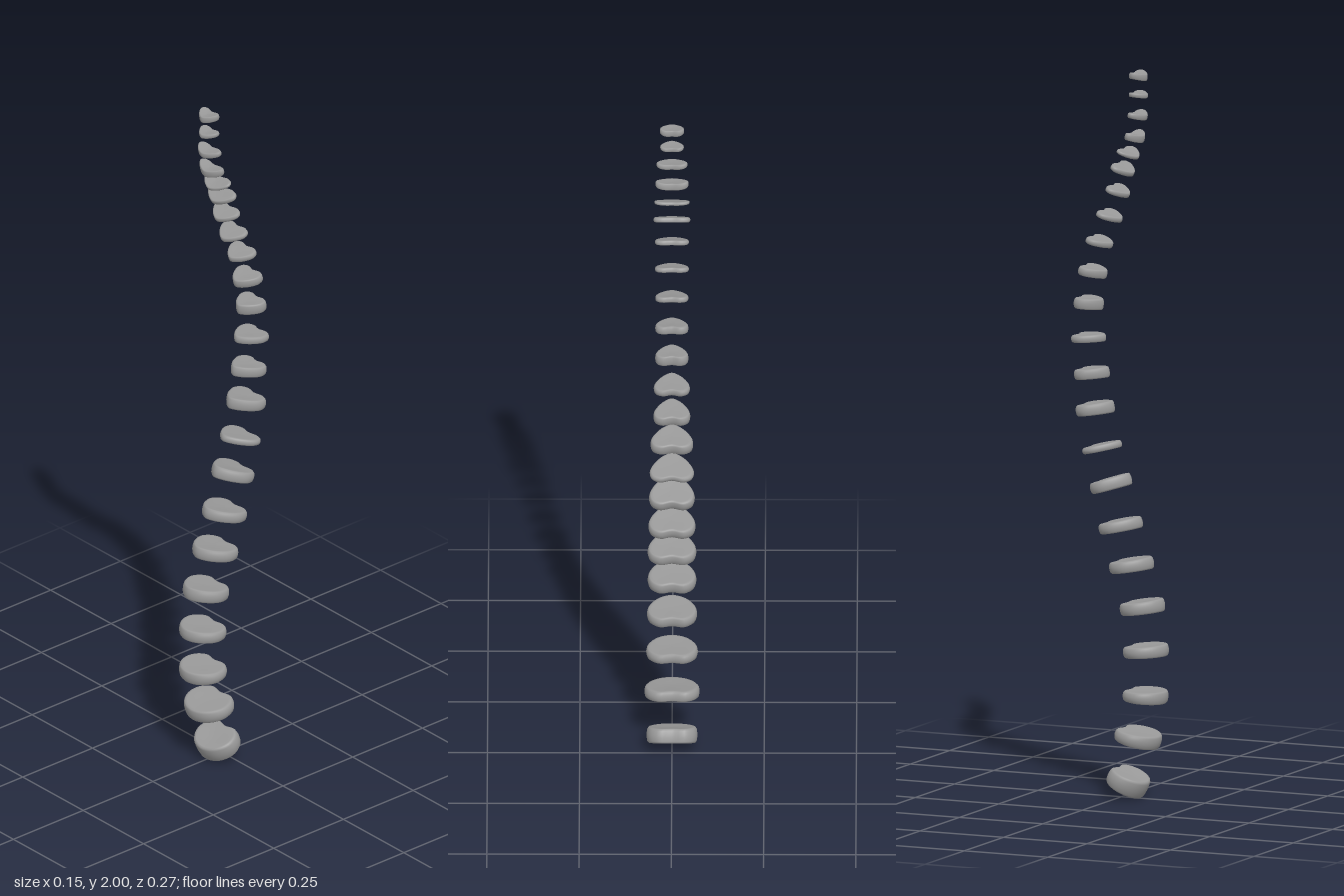
import * as THREE from 'three';

// One row per disc, bottom to top: y, z, forward tilt in degrees, half width, depth, thickness
const DISCS = [
  [0.048, 0.024, 27, 0.069, 0.106, 0.046],
  [0.171, 0.055, 13, 0.075, 0.118, 0.034],
  [0.287, 0.077, 3, 0.070, 0.114, 0.031],
  [0.411, 0.079, -4, 0.068, 0.116, 0.031],
  [0.531, 0.069, -8, 0.066, 0.116, 0.034],
  [0.644, 0.037, -9, 0.066, 0.115, 0.032],
  [0.751, 0.005, -12, 0.064, 0.114, 0.030],
  [0.864, -0.024, -17, 0.062, 0.109, 0.032],
  [0.962, -0.050, -13, 0.060, 0.102, 0.018],
  [1.067, -0.071, -8, 0.058, 0.099, 0.031],
  [1.163, -0.082, -6, 0.050, 0.092, 0.028],
  [1.259, -0.092, -3, 0.049, 0.090, 0.020],
  [1.354, -0.092, 4, 0.045, 0.076, 0.029],
  [1.441, -0.080, 11, 0.045, 0.074, 0.023],
  [1.524, -0.060, 15, 0.045, 0.069, 0.016],
  [1.597, -0.030, 20, 0.046, 0.066, 0.014],
  [1.667, -0.005, 23, 0.046, 0.060, 0.014],
  [1.728, 0.010, 29, 0.050, 0.058, 0.014],
  [1.773, 0.026, 24, 0.048, 0.054, 0.010],
  [1.820, 0.046, 10, 0.045, 0.044, 0.020],
  [1.879, 0.054, 8, 0.042, 0.045, 0.015],
  [1.936, 0.055, 3, 0.032, 0.047, 0.012],
  [1.988, 0.055, 5, 0.033, 0.045, 0.018],
];

// Right half of the outline, front to back: rounded kidney and pointed heart
const KIDNEY = [[0, 1], [0.5, 0.83], [0.86, 0.4], [1, -0.12], [0.86, -0.68], [0.5, -0.99], [0, -0.9]];
const HEART = [[0, 1], [0.4, 0.76], [0.78, 0.26], [1, -0.35], [0.88, -0.82], [0.52, -1], [0, -0.86]];

// Rim profile from the underside centre to the top centre: scale, height
const RINGS = [[0, -0.44], [0.45, -0.45], [0.82, -0.5], [0.92, -0.48], [0.975, -0.36], [1, -0.1],
  [1, 0.1], [0.975, 0.36], [0.92, 0.48], [0.82, 0.5], [0.45, 0.45], [0, 0.44]];
const SEGMENTS = 48;

function outline(heart) {
  const half = KIDNEY.map(([x, z], i) => new THREE.Vector3(
    THREE.MathUtils.lerp(x, HEART[i][0], heart), 0, THREE.MathUtils.lerp(z, HEART[i][1], heart)));
  const mirrored = half.slice(1, -1).reverse().map((p) => new THREE.Vector3(-p.x, 0, p.z));
  return new THREE.CatmullRomCurve3([...half, ...mirrored], true).getPoints(SEGMENTS).slice(0, SEGMENTS);
}

// Stack scaled outlines into a closed, softly rounded disc
function discGeometry(halfWidth, depth, thickness, heart, wedge, saddle) {
  const shape = outline(heart);
  const positions = [];
  const index = [];
  for (const [s, h] of RINGS) {
    for (const p of shape) {
      const x = p.x * s, z = p.z * s;
      const y = h * thickness * (1 + wedge * z) + saddle * thickness * (x * x - 0.4);
      positions.push(x * halfWidth, y, z * depth / 2);
    }
  }
  for (let r = 0; r < RINGS.length - 1; r++) {
    for (let i = 0; i < SEGMENTS; i++) {
      const j = (i + 1) % SEGMENTS;
      const a = r * SEGMENTS + i, b = r * SEGMENTS + j;
      const c = a + SEGMENTS, d = b + SEGMENTS;
      if (r > 0) index.push(a, b, d);
      if (r < RINGS.length - 2) index.push(a, d, c);
      else index.push(b, c, a);
      if (r === RINGS.length - 2) index.splice(-6, 6, a, b, c);
    }
  }
  const geometry = new THREE.BufferGeometry();
  geometry.setAttribute('position', new THREE.Float32BufferAttribute(positions, 3));
  geometry.setIndex(index);
  geometry.computeVertexNormals();
  return geometry;
}

export function createModel() {
  const model = new THREE.Group();
  model.name = 'spinalDiscs';
  const grey = new THREE.MeshStandardMaterial({ color: 0x999999 });
  grey.name = 'discGrey';

  DISCS.forEach(([y, z, tilt, halfWidth, depth, thickness], i) => {
    const heart = THREE.MathUtils.clamp((i - 2) / 6, 0, 1);
    const wedge = i < 3 ? 0.14 : 0.05;
    const saddle = i > 17 ? 0.3 : 0;
    const disc = new THREE.Mesh(discGeometry(halfWidth, depth, thickness, heart, wedge, saddle), grey);
    const region = i < 5 ? 'lumbarDisc' : i < 17 ? 'thoracicDisc' : 'cervicalDisc';
    disc.name = region + (i + 1);
    disc.position.set(0, y, z);
    disc.rotation.x = THREE.MathUtils.degToRad(tilt);
    model.add(disc);
  });
  return model;
}
